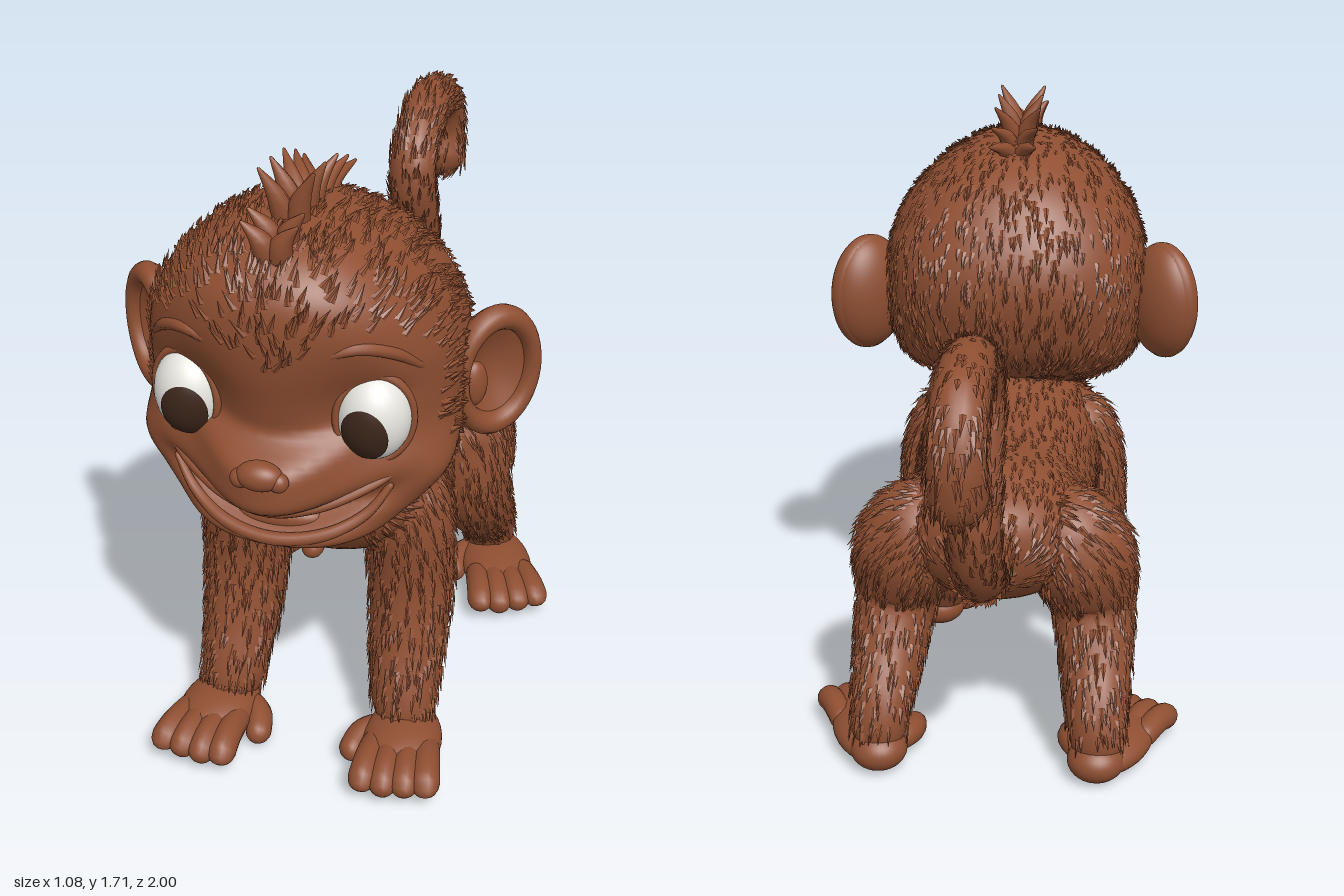
import * as THREE from 'three';

const paint = (name, color) => Object.assign(new THREE.MeshStandardMaterial({ color }), { name });
const V = (x, y, z) => new THREE.Vector3(x, y, z);

// Small seeded random source for the fur
let seed = 7;
const rand = () => (seed = (seed * 16807) % 2147483647) / 2147483647;

// Closed skin over a list of rings, with a fan at each end
function skin(rings) {
  const n = rings[0].length, pos = [], index = [];
  const mid = ring => ring.reduce((a, p) => a.add(p), V(0, 0, 0)).divideScalar(n);
  [...rings.flat(), mid(rings[0]), mid(rings.at(-1))].forEach(p => pos.push(p.x, p.y, p.z));
  const start = rings.length * n, last = start - n;
  for (let j = 0; j < n; j++) {
    const k = (j + 1) % n;
    for (let i = 0; i < rings.length - 1; i++) {
      const a = i * n + j, b = i * n + k;
      index.push(a, b, a + n, b, b + n, a + n);
    }
    index.push(start, k, j, start + 1, last + j, last + k);
  }
  const g = new THREE.BufferGeometry();
  g.setAttribute('position', new THREE.Float32BufferAttribute(pos, 3));
  g.setIndex(index);
  g.computeVertexNormals();
  return g;
}

// Smoothly interpolated rows turned into rings by a rule
function loft(rows, steps, sides, place) {
  const rings = [], m = rows.length - 1;
  for (let i = 0; i <= steps; i++) {
    const u = (i / steps) * m, k = Math.min(Math.floor(u), m - 1), t = u - k;
    const [a, b, c, d] = [k - 1, k, k + 1, k + 2].map(q => rows[THREE.MathUtils.clamp(q, 0, m)]);
    const row = b.map((v, q) => 0.5 * (2 * v + (c[q] - a[q]) * t + (2 * a[q] - 5 * v + 4 * c[q] - d[q]) * t * t
      + (3 * v - a[q] - 3 * c[q] + d[q]) * t * t * t));
    rings.push(Array.from({ length: sides }, (_, j) => place(row, (j / sides) * Math.PI * 2)));
  }
  return skin(rings);
}

// Round-ended tube through [x, y, z, radius] points
function tube(pts, steps = 36, sides = 20) {
  const curve = new THREE.CatmullRomCurve3(pts.map(p => V(p[0], p[1], p[2])));
  const fine = curve.computeFrenetFrames(200, false), length = curve.getLength(), rings = [];
  for (let i = 0; i <= steps; i++) {
    const f = Math.round(100 * (1 - Math.cos((i / steps) * Math.PI))), u = f / 200;
    const t = curve.getUtoTmapping(u) * (pts.length - 1), k = Math.min(Math.floor(t), pts.length - 2);
    let r = THREE.MathUtils.lerp(pts[k][3], pts[k + 1][3], t - k);
    const end = Math.min(1, (Math.min(u, 1 - u) * length) / r);
    r *= Math.max(0.02, Math.sqrt(1 - (1 - end) ** 2));
    const c = curve.getPointAt(u);
    rings.push(Array.from({ length: sides }, (_, j) => {
      const a = (j / sides) * Math.PI * 2;
      return c.clone().addScaledVector(fine.normals[f], r * Math.cos(a)).addScaledVector(fine.binormals[f], r * Math.sin(a));
    }));
  }
  const g = skin(rings), samples = curve.getSpacedPoints(40);
  g.userData.flow = p => {
    let best = 0;
    samples.forEach((q, i) => { if (q.distanceToSquared(p) < samples[best].distanceToSquared(p)) best = i; });
    return curve.getTangentAt(best / 40);
  };
  return g;
}

// Short pointed tufts scattered over a surface, lying along a flow direction
function furOver(g, flow, keep = () => true, density = 1300) {
  const P = g.attributes.position, I = g.index.array, out = [];
  const at = i => V().fromBufferAttribute(P, i);
  for (let i = 0; i < I.length; i += 3) {
    const a = at(I[i]), ab = at(I[i + 1]).sub(a), ac = at(I[i + 2]).sub(a);
    const n = ab.clone().cross(ac), area = n.length() / 2;
    if (area < 1e-9) continue;
    n.normalize();
    for (let c = Math.floor(area * density + rand()); c > 0; c--) {
      let u = rand(), v = rand();
      if (u + v > 1) { u = 1 - u; v = 1 - v; }
      const p = a.clone().addScaledVector(ab, u).addScaledVector(ac, v);
      if (!keep(p, n)) continue;
      const f = flow(p).clone().addScaledVector(V(rand() - 0.5, rand() - 0.5, rand() - 0.5), 0.2);
      f.addScaledVector(n, -f.dot(n)).normalize();
      const b = n.clone().cross(f);
      const L = p.clone().addScaledVector(b, 0.009), R = p.clone().addScaledVector(b, -0.009);
      const top = p.clone().addScaledVector(n, 0.005);
      const tip = p.clone().addScaledVector(f, 0.035 + 0.025 * rand()).addScaledVector(n, 0.011);
      for (const q of [top, tip, L, top, R, tip, L, tip, R]) out.push(q.x, q.y, q.z);
    }
  }
  const fur = new THREE.BufferGeometry();
  fur.setAttribute('position', new THREE.Float32BufferAttribute(out, 3));
  fur.computeVertexNormals();
  return fur;
}

export function createModel() {
  const brown = paint('chestnut brown', 0x8f4f32);
  const white = paint('eye white', 0xf0eee8);
  const dark = paint('dark iris', 0x3c261b);
  const model = new THREE.Group();
  model.name = 'babyMonkey';

  const add = (name, g, parent = model, mat = brown) => {
    const mesh = new THREE.Mesh(g, mat);
    mesh.name = name;
    parent.add(mesh);
  };
  const ball = (name, [x, y, z], [rx, ry, rz], parent = model, mat = brown) =>
    add(name, new THREE.SphereGeometry(1, 32, 24).scale(rx, ry, rz).translate(x, y, z), parent, mat);
  const furry = (name, g, flow = g.userData.flow, keep) => {
    add(name, g);
    add(name + 'Fur', furOver(g, flow, keep));
  };
  const group = name => { const g = new THREE.Group(); g.name = name; model.add(g); return g; };

  // Body: rows of z, half width, bottom, top
  const body = loft([
    [-0.35, 0.03, 0.64, 0.74], [-0.32, 0.12, 0.57, 0.78], [-0.25, 0.21, 0.5, 0.82], [-0.12, 0.265, 0.44, 0.86],
    [0.05, 0.26, 0.42, 0.86], [0.2, 0.26, 0.42, 0.895], [0.32, 0.265, 0.45, 0.925], [0.45, 0.27, 0.52, 0.925],
    [0.55, 0.24, 0.6, 0.9], [0.61, 0.15, 0.69, 0.86], [0.635, 0.03, 0.76, 0.82],
  ], 44, 40, ([z, w, lo, hi], a) => V(w * Math.cos(a), (lo + hi) / 2 + ((hi - lo) / 2) * Math.sin(a), z));
  furry('body', body, () => V(0, -0.3, -1), (p, n) => p.y > 0.55 && !(n.z > 0.3 && Math.abs(p.x) < 0.13));

  // Head: rows of y, half width, back, front; the face is swelled and hollowed by soft bumps
  const bump = (d, size, power = 2) => Math.exp(-(Math.abs(d / size) ** power));
  const head = loft([
    [0.785, 0.02, 0.65, 0.74], [0.795, 0.1, 0.58, 0.81], [0.82, 0.185, 0.52, 0.87], [0.85, 0.25, 0.46, 0.9],
    [0.9, 0.305, 0.38, 0.885], [0.95, 0.34, 0.29, 0.87], [1.02, 0.367, 0.225, 0.865], [1.1, 0.378, 0.19, 0.87],
    [1.2, 0.38, 0.17, 0.89], [1.3, 0.37, 0.185, 0.91], [1.4, 0.33, 0.235, 0.915],
    [1.48, 0.265, 0.3, 0.9], [1.54, 0.19, 0.39, 0.85], [1.575, 0.115, 0.48, 0.77], [1.59, 0.01, 0.6, 0.64],
  ], 112, 88, ([y, w, back, front], a) => {
    const e = v => Math.sign(v) * Math.abs(v) ** (2 / 2.3);
    let x = w * e(Math.sin(a)), z = (back + front) / 2 + ((front - back) / 2) * e(Math.cos(a));
    const ax = Math.abs(x), smile = y - 1.1 * x * x;
    // Cheeks
    const cheek = bump(ax - 0.33, 0.11) * bump(y - 1.0, 0.085) * bump(z - 0.71, 0.14);
    x += Math.sign(x) * 0.036 * cheek;
    if (Math.cos(a) > 0) {
      z += 0.02 * cheek;
      z -= 0.06 * bump(ax - 0.2, 0.11) * bump(y - 1.18, 0.14); // eye sockets
      z += 0.115 * bump(smile - 1.02, 0.085, 4) * bump(ax, 0.19); // muzzle
      z -= 0.06 * bump(smile - 0.905, 0.035) * bump(ax, 0.22, 4); // open mouth
    }
    return V(x, y, z);
  });
  furry('head', head, p => V(p.x, p.y - 1.15 - Math.max(0, 0.7 - p.z) * 1.5, p.z - 1), p => {
    const ax = Math.abs(p.x), brow = Math.min(1.29 + 0.8 * ax, 1.41) - 0.5 * Math.max(0, ax - 0.2);
    return !(p.z > 0.7 && p.y < brow) && !(p.z > 0.58 && p.y < 1.06);
  });

  // Nose, tongue and smiling lips
  ball('nose', [0, 1.075, 0.963], [0.055, 0.036, 0.036]);
  ball('tongue', [0, 0.885, 0.822], [0.11, 0.038, 0.045]);
  const lip = (name, half) => add(name, tube([...half.slice(1).reverse().map(([x, ...r]) => [-x, ...r]), ...half], 48, 12));
  lip('upperLip', [[0, 0.947, 0.91, 0.018], [0.12, 0.962, 0.88, 0.017], [0.23, 1.0, 0.817, 0.013], [0.29, 1.03, 0.765, 0.008]]);
  lip('lowerLip', [[0, 0.853, 0.888, 0.017], [0.12, 0.87, 0.868, 0.016], [0.21, 0.915, 0.823, 0.013], [0.265, 0.99, 0.79, 0.008]]);

  // Curled tuft on the crown: z of root, then height and z of tip
  const tuft = group('crownTuft');
  const locks = [[0.81, 1.64, 0.84], [0.76, 1.65, 0.79], [0.67, 1.71, 0.71], [0.61, 1.7, 0.62],
    [0.58, 1.68, 0.52], [0.53, 1.64, 0.43], [0.48, 1.6, 0.36]];

  // Flat hand or foot with four digits and an inner thumb, pointing along local +z
  const paw = (name, s, [x, z], yaw, len, lift) => {
    const g = group(name);
    ball('palm', [0, lift, len / 2 - 0.02], [0.105, lift, len / 2 + 0.06], g);
    ball('heel', [0, 0.06, -0.02], [0.08, 0.06, 0.08], g);
    for (let i = 0; i < 4; i++) {
      const d = (i - 1.5) * s, reach = len + 0.1 - 0.012 * Math.abs(i - 1.3);
      add('digit', tube([[d * 0.043, lift, len - 0.1, 0.036], [d * 0.051, lift + 0.014, len + 0.01, 0.037],
        [d * 0.055, lift, len + 0.065, 0.038], [d * 0.056, 0.037, reach, 0.037]], 18, 14), g);
    }
    add('thumb', tube([[-0.05 * s, 0.055, 0, 0.035], [-0.11 * s, 0.055, 0.05, 0.037], [-0.14 * s, 0.036, 0.13, 0.034]], 18, 14), g);
    g.position.set(s * x, 0, z);
    g.rotation.y = s * yaw;
  };

  for (const s of [1, -1]) {
    const side = s > 0 ? 'left' : 'right';
    const mirrored = pts => pts.map(([x, ...rest]) => [s * x, ...rest]);

    // Limbs
    furry(side + 'Arm', tube(mirrored([[0.15, 0.85, 0.42, 0.11], [0.21, 0.68, 0.43, 0.12], [0.228, 0.46, 0.42, 0.114],
      [0.232, 0.28, 0.47, 0.102], [0.24, 0.14, 0.535, 0.088], [0.25, 0.04, 0.56, 0.075]])), undefined, p => p.y > 0.12);
    furry(side + 'Leg', tube(mirrored([[0.12, 0.76, -0.15, 0.13], [0.235, 0.59, -0.13, 0.158], [0.275, 0.43, -0.11, 0.117],
      [0.29, 0.29, -0.19, 0.1], [0.3, 0.17, -0.29, 0.083], [0.31, 0.04, -0.32, 0.07]])), undefined, p => p.y > 0.12);
    paw(side + 'Hand', s, [0.25, 0.56], 0.1, 0.165, 0.064);
    paw(side + 'Foot', s, [0.31, -0.31], 0.38, 0.22, 0.056);

    // Nose wing
    ball(side + 'NoseWing', [s * 0.045, 1.065, 0.965], [0.024, 0.024, 0.022]);

    // Eye with iris plate and lid rim
    const eye = group(side + 'Eye');
    ball('eyeball', [0, 0, 0], [0.088, 0.111, 0.085], eye, white);
    const iris = new THREE.SphereGeometry(1.02, 32, 10, 0, Math.PI * 2, 0, 0.68).rotateX(Math.PI / 2 + 0.23).rotateY(-0.38 * s);
    add('iris', iris.scale(0.088, 0.111, 0.085), eye, dark);
    add('eyelid', new THREE.TorusGeometry(0.111, 0.012, 10, 40).scale(0.8, 1, 1).translate(0, 0, 0.018), eye);
    eye.position.set(s * 0.22, 1.168, 0.785);
    eye.rotation.y = 0.3 * s;

    // Brow ridge
    add(side + 'Brow', tube(mirrored([[0.12, 1.35, 0.88, 0.01], [0.2, 1.37, 0.855, 0.015],
      [0.27, 1.34, 0.8, 0.015], [0.32, 1.28, 0.735, 0.01]]), 20, 10));

    // Cupped ear, full at the back, with a rolled rim
    const ear = group(side + 'Ear');
    const shell = new THREE.SphereGeometry(1, 36, 28), P = shell.attributes.position;
    for (let i = 0; i < P.count; i++) {
      const z = P.getZ(i), depth = z > 0 ? 0.045 * z - 0.075 * z ** 3 : 0.085 * z;
      P.setXYZ(i, P.getX(i) * 0.125, P.getY(i) * 0.17, depth);
    }
    shell.computeVertexNormals();
    add('shell', shell, ear);
    add('rim', new THREE.TorusGeometry(0.143, 0.031, 14, 44).scale(0.74, 1, 1), ear);
    ball('innerFold', [-s * 0.06, -0.02, 0], [0.035, 0.06, 0.025], ear);
    ear.position.set(s * 0.437, 1.135, 0.465);
    ear.rotation.y = 0.8 * s;

    for (const [z, h, tipZ] of locks) {
      add('lock', tube(mirrored([[0.012, 1.52, z, 0.032], [0.025, (1.54 + h) / 2, z * 0.7 + tipZ * 0.3 + 0.008, 0.026],
        [0.065, h, tipZ, 0.003]]), 14, 8), tuft);
    }
  }

  // Curled tail
  furry('tail', tube([[0, 0.7, -0.24, 0.085], [0, 0.68, -0.34, 0.075], [0, 0.665, -0.44, 0.068], [0, 0.745, -0.555, 0.068],
    [0, 0.88, -0.6, 0.066], [0, 1.04, -0.55, 0.068], [0, 1.19, -0.505, 0.068], [0, 1.29, -0.58, 0.066],
    [0, 1.33, -0.72, 0.066], [0, 1.29, -0.86, 0.068], [0, 1.19, -0.915, 0.068], [0, 1.1, -0.905, 0.072], [0, 1.035, -0.875, 0.075]], 70));

  return model;
}
